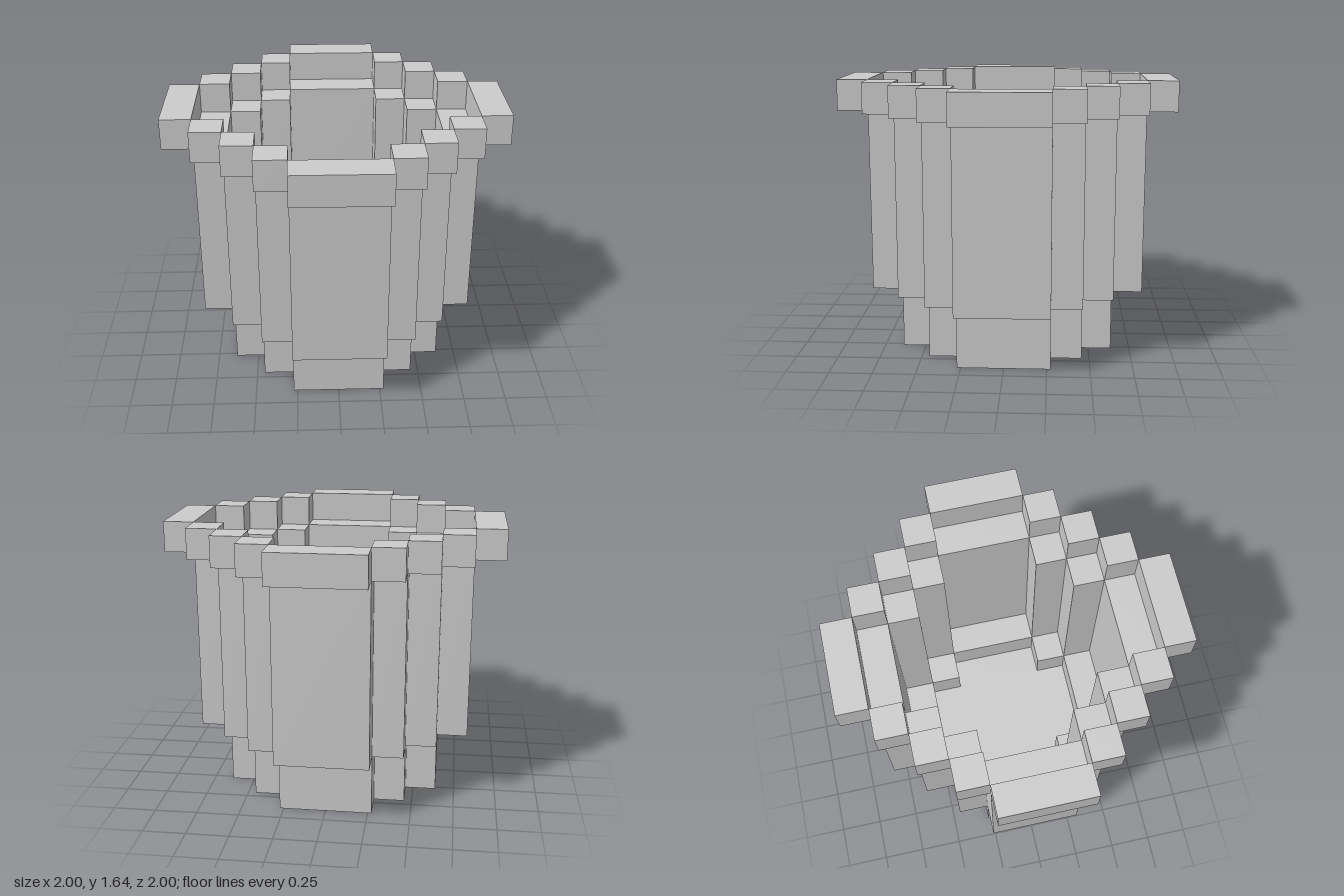
import * as THREE from 'three';

const U = 2 / 11; // one block
const material = new THREE.MeshStandardMaterial({ color: 0xcccccc, flatShading: true });

// Box sized and placed in block units, standing on height y
function block(name, w, h, d, x, y, z) {
  const mesh = new THREE.Mesh(new THREE.BoxGeometry(w * U, h * U, d * U), material);
  mesh.position.set(x * U, (y + h / 2) * U, z * U);
  mesh.name = name;
  return mesh;
}

// Stepped ring: four straight sides, joined by diagonal runs of single columns
function steppedRing(name, radius, y, h) {
  const ring = new THREE.Group();
  ring.name = name;
  for (const s of [-1, 1]) {
    ring.add(block(name + 'Side', 1, h, 3, s * radius, y, 0));
    ring.add(block(name + 'Side', 3, h, 1, 0, y, s * radius));
    for (const t of [-1, 1]) {
      for (let i = 1; i <= radius - 2; i++) {
        ring.add(block(name + 'Corner', 1, h, 1, s * (1 + i), y, t * (radius - i)));
      }
    }
  }
  return ring;
}

export function createModel() {
  const pot = new THREE.Group();
  pot.name = 'pot';

  // Foot, body and rim each step out by one block
  pot.add(steppedRing('foot', 3, 0, 2));
  pot.add(steppedRing('wall', 4, 2, 6));
  pot.add(steppedRing('rim', 5, 8, 1));

  // Floor filling the lower half of the foot
  const floor = new THREE.Group();
  floor.name = 'floor';
  floor.add(block('floorCentre', 3, 1, 5, 0, 0, 0));
  for (const s of [-1, 1]) floor.add(block('floorSide', 1, 1, 3, s * 2, 0, 0));
  pot.add(floor);

  return pot;
}
